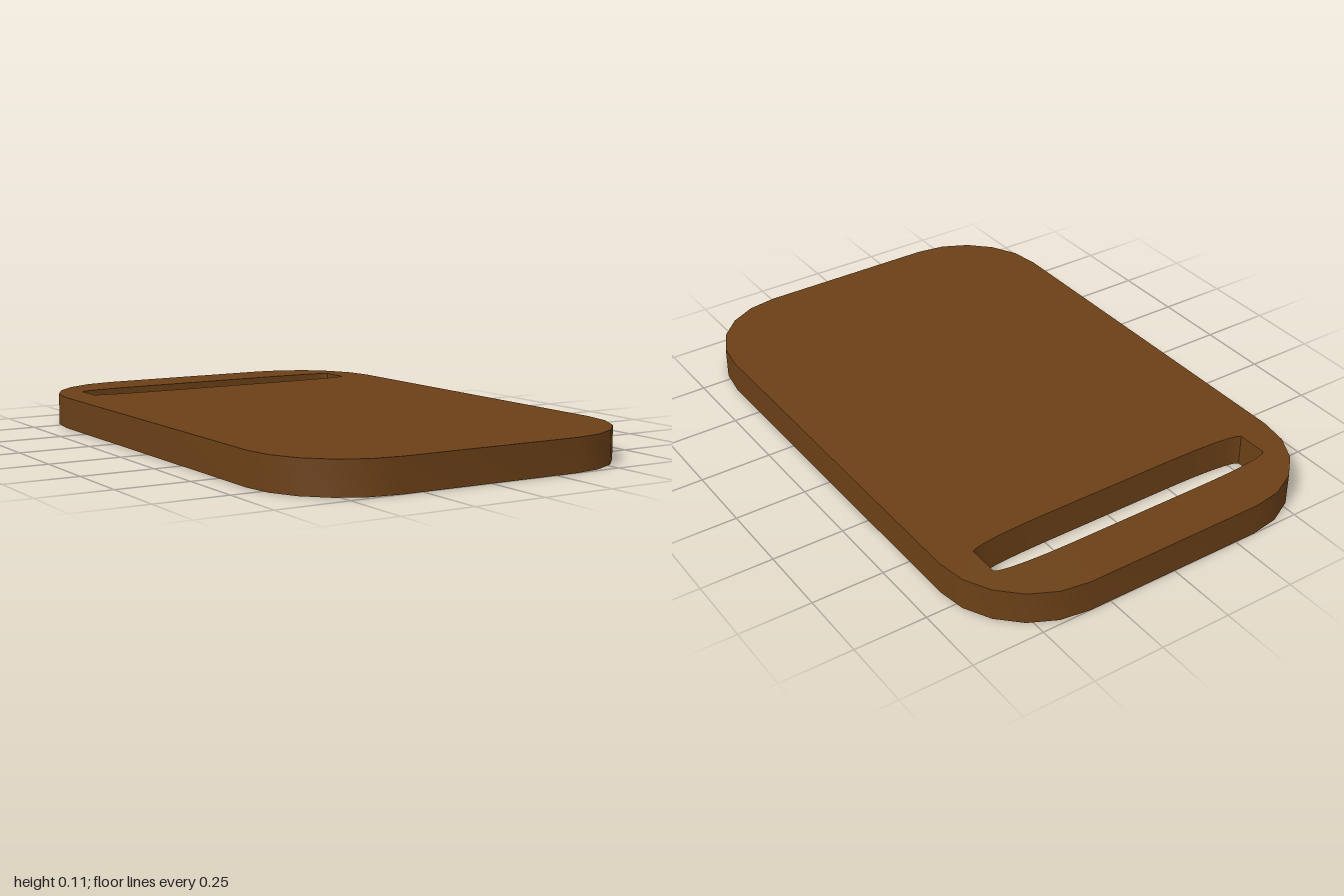
import * as THREE from 'three';
import { toCreasedNormals } from 'three/addons/utils/BufferGeometryUtils.js';

// Rounded rectangle outline with elliptical corners, five facets each
function roundedOutline(halfW, halfL, rx, ry, centerY = 0) {
  const points = [];
  const steps = 5;
  for (let corner = 0; corner < 4; corner++) {
    const sx = corner === 0 || corner === 3 ? 1 : -1;
    const sy = corner < 2 ? 1 : -1;
    for (let i = 0; i <= steps; i++) {
      const a = (corner + i / steps) * Math.PI / 2;
      points.push(new THREE.Vector2(
        sx * (halfW - rx) + rx * Math.cos(a),
        centerY + sy * (halfL - ry) + ry * Math.sin(a)
      ));
    }
  }
  return points;
}

export function createModel() {
  const group = new THREE.Group();
  group.name = 'cuttingBoard';

  // Board outline with a wide handle slot near the back
  const shape = new THREE.Shape(roundedOutline(0.654, 1, 0.327, 0.325));
  shape.holes.push(new THREE.Path(roundedOutline(0.538, 0.08, 0.269, 0.026, 0.74)));

  // Lay the slab flat on the ground
  const slab = new THREE.ExtrudeGeometry(shape, { depth: 0.112, bevelEnabled: false });
  slab.rotateX(-Math.PI / 2);

  const wood = new THREE.MeshStandardMaterial({ color: 0x6b4017 });
  const board = new THREE.Mesh(toCreasedNormals(slab, 0.6), wood);
  board.name = 'board';
  group.add(board);
  return group;
}
